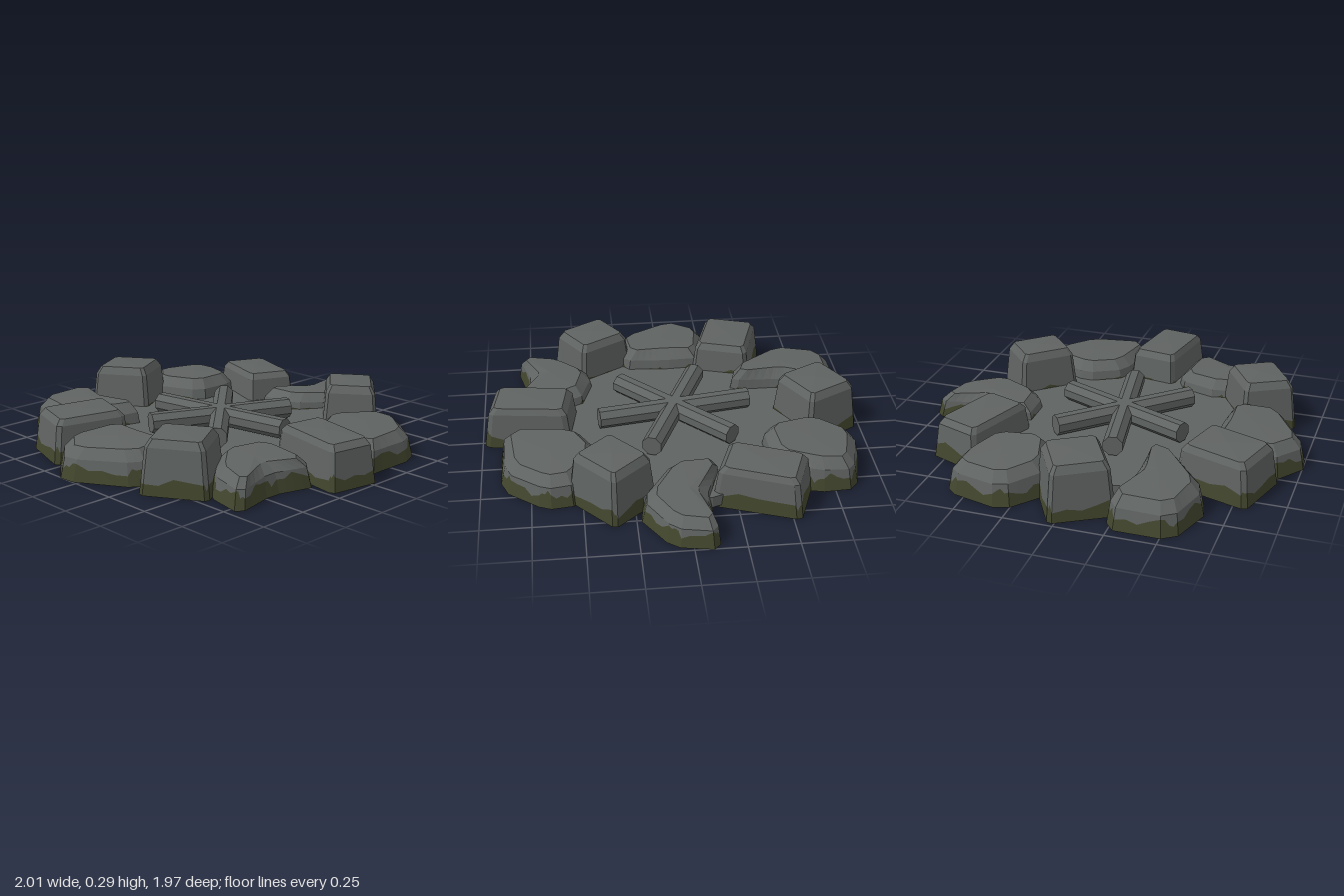
import * as THREE from 'three';

const stoneMat = new THREE.MeshStandardMaterial({ color: 0x5f6361, flatShading: true });
stoneMat.name = 'grey stone';
const mossMat = new THREE.MeshStandardMaterial({ color: 0x42462d, flatShading: true });
mossMat.name = 'dark moss';

// Squared blocks: centre x, z, half length, half width, turn, height
const BLOCKS = [
  [-0.03, -0.76, 0.165, 0.17, -0.52, 0.28],
  [0.61, -0.38, 0.225, 0.145, -1.21, 0.215],
  [0.575, 0.355, 0.17, 0.15, -0.72, 0.28],
  [-0.06, 0.74, 0.23, 0.14, 1.735, 0.225],
  [-0.67, 0.39, 0.155, 0.17, -0.55, 0.27],
  [-0.67, -0.37, 0.205, 0.165, 0.3, 0.225],
];

// Low boulders: height, then six footprint corners x, z, clockwise from above
const BOULDERS = [
  [0.17, -0.56, -0.95, -0.22, -0.95, -0.27, -0.6, -0.28, -0.33, -0.41, -0.36, -0.66, -0.65],
  [0.17, 0.28, -0.94, 0.6, -0.86, 0.61, -0.66, 0.5, -0.43, 0.2, -0.42, 0.1, -0.72],
  [0.145, 0.42, -0.2, 0.74, -0.11, 1.01, -0.13, 0.97, 0.1, 0.72, 0.25, 0.42, 0.05],
  [0.16, 0.32, 0.38, 0.6, 0.52, 0.62, 0.68, 0.44, 0.9, 0.06, 0.9, 0.1, 0.5],
  [0.15, -0.44, 0.38, -0.17, 0.47, -0.2, 0.83, -0.45, 0.76, -0.72, 0.82, -0.67, 0.57],
  [0.17, -0.88, -0.28, -0.55, -0.24, -0.53, 0, -0.56, 0.24, -0.82, 0.27, -1.03, -0.08],
];

// Replace each corner by two points, a fraction of the edge away from it
function cutCorners(pts, cut) {
  return pts.flatMap((p, i) => {
    const q = pts[(i + 1) % pts.length];
    return [p.clone().lerp(q, cut), q.clone().lerp(p, cut)];
  });
}

function blockFootprint(x, z, a, b, turn) {
  const corners = [[-a, -b], [a, -b], [a, b], [-a, b]].map(([u, v]) =>
    new THREE.Vector2(u, v).rotateAround(new THREE.Vector2(), turn).add(new THREE.Vector2(x, z)));
  return cutCorners(corners, 0.06);
}

function boulderFootprint(coords) {
  const corners = [];
  for (let i = 0; i < coords.length; i += 2) corners.push(new THREE.Vector2(coords[i], coords[i + 1]));
  return cutCorners(corners, 0.16);
}

// Rock from stacked outlines: mossy foot, stone flank, bevel and top
function makeRock(pts, seed, { h, shoulderY, shoulderInset, topInset, slope }) {
  const DIV = 4;
  const c = pts.reduce((sum, p) => sum.add(p), new THREE.Vector2()).divideScalar(pts.length);
  const outward = c.clone().normalize();
  const ring = (inset, y, tilt) => {
    const corners = pts.map((p) => {
      const d = p.clone().sub(c);
      const k = 1 - inset / d.length();
      return new THREE.Vector3(c.x + d.x * k, y - tilt * d.dot(outward), c.y + d.y * k);
    });
    return corners.flatMap((p, i) => Array.from({ length: DIV }, (_, j) =>
      p.clone().lerp(corners[(i + 1) % corners.length], j / DIV)));
  };

  const foot = ring(0, 0, 0);
  const shoulder = ring(shoulderInset, shoulderY, slope);
  const top = ring(topInset, h, slope);
  // wavy moss line along the flank
  const mossLine = foot.map((p, i) => {
    const y = 0.068 + 0.016 * Math.sin(i * 0.9 + seed * 2.1) + 0.011 * Math.sin(i * 2.3 + seed);
    return p.clone().lerp(shoulder[i], Math.min(0.92, y / shoulder[i].y));
  });

  const pos = [];
  const tri = (...corners) => corners.forEach((p) => pos.push(p.x, p.y, p.z));
  const band = (a, b) => a.forEach((p, i) => {
    const j = (i + 1) % a.length;
    tri(p, b[i], b[j]);
    tri(p, b[j], a[j]);
  });
  const fan = (r, centre) => r.forEach((p, i) => tri(centre, p, r[(i + 1) % r.length]));

  fan(foot, new THREE.Vector3(c.x, 0, c.y));
  band(foot, mossLine);
  const mossCount = pos.length / 3;
  band(mossLine, shoulder);
  band(shoulder, top);
  fan(top.reverse(), new THREE.Vector3(c.x, h + 0.006, c.y));

  const geo = new THREE.BufferGeometry();
  geo.setAttribute('position', new THREE.Float32BufferAttribute(pos, 3));
  geo.addGroup(0, mossCount, 0);
  geo.addGroup(mossCount, pos.length / 3 - mossCount, 1);
  geo.computeVertexNormals();
  return new THREE.Mesh(geo, [mossMat, stoneMat]);
}

// Eight-sided log lying between two floor points
function makeLog(x1, z1, x2, z2) {
  const geo = new THREE.CylinderGeometry(0.054, 0.054, Math.hypot(x2 - x1, z2 - z1), 8);
  geo.rotateY(Math.PI / 8);
  geo.rotateX(Math.PI / 2);
  const log = new THREE.Mesh(geo, stoneMat);
  log.position.set((x1 + x2) / 2, 0.135, (z1 + z2) / 2);
  log.rotation.y = Math.atan2(x2 - x1, z2 - z1);
  return log;
}

export function createModel() {
  const model = new THREE.Group();
  model.name = 'firePit';

  const addPart = (name, mesh) => {
    mesh.name = name;
    model.add(mesh);
  };

  // Ring of rocks
  BLOCKS.forEach(([x, z, a, b, turn, h], i) => {
    const shape = { h, shoulderY: h * 0.86, shoulderInset: 0.03, topInset: 0.06, slope: 0.02 };
    addPart(`blockRock${i + 1}`, makeRock(blockFootprint(x, z, a, b, turn), i + 1, shape));
  });
  BOULDERS.forEach(([h, ...coords], i) => {
    const shape = { h, shoulderY: h * 0.7, shoulderInset: 0.025, topInset: 0.075, slope: 0.04 };
    addPart(`boulder${i + 1}`, makeRock(boulderFootprint(coords), i + 7, shape));
  });

  // Floor slab
  const floor = new THREE.Mesh(new THREE.CylinderGeometry(0.71, 0.71, 0.06, 18), stoneMat);
  floor.position.y = 0.045;
  addPart('floor', floor);

  // Crossed logs
  addPart('log1', makeLog(-0.1, -0.41, 0.03, 0.39));
  addPart('log2', makeLog(0.25, -0.28, -0.32, 0.26));
  addPart('log3', makeLog(0.32, 0.14, -0.39, -0.16));
  return model;
}
